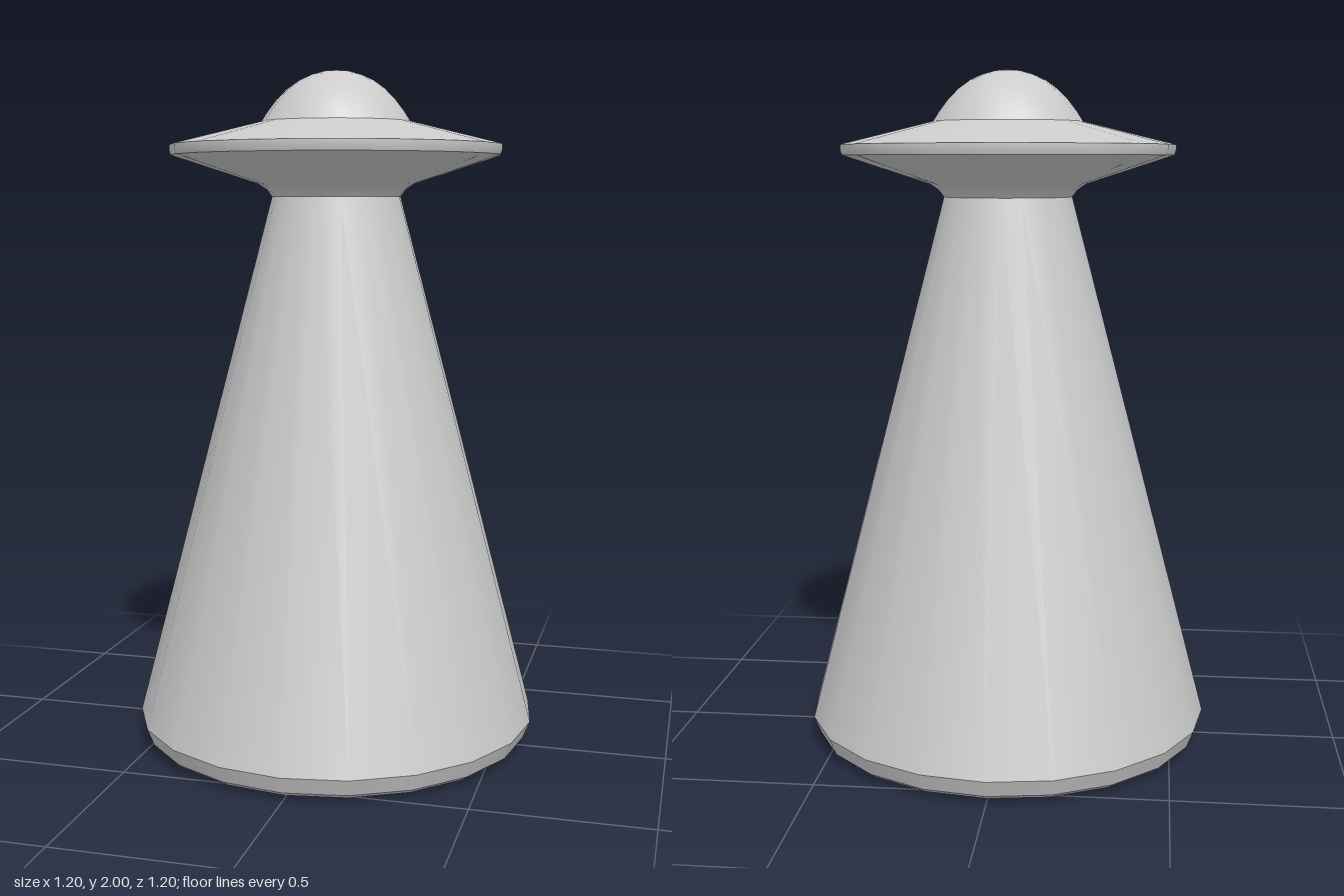
import * as THREE from 'three';

const SIDES = 20;

export function createModel() {
  const model = new THREE.Group();
  const material = new THREE.MeshStandardMaterial({ color: 0xcccccc });

  // Each part is a turned profile of [radius, height], listed from bottom to top.
  function turned(name, profile) {
    const points = profile.map(([r, y]) => new THREE.Vector2(r, y));
    const mesh = new THREE.Mesh(new THREE.LatheGeometry(points, SIDES), material);
    mesh.name = name;
    model.add(mesh);
  }

  // Base: underside with a softened edge, then the band below the cone
  turned('baseUnderside', [[0, 0], [0.52, 0], [0.56, 0.01], [0.58, 0.025]]);
  turned('baseBand', [[0.58, 0.025], [0.6, 0.075]]);

  // Tall tapering beam
  turned('beamCone', [[0.6, 0.075], [0.19, 1.635]]);

  // Saucer: flared collar, underside, thin rim and sloping top
  turned('saucerUnderside', [[0.19, 1.635], [0.205, 1.655], [0.23, 1.672], [0.485, 1.755]]);
  turned('saucerRim', [[0.485, 1.755], [0.49, 1.77], [0.49, 1.785]]);
  turned('saucerTop', [[0.49, 1.785], [0.22, 1.852]]);

  // Rounded dome with a slightly flared foot
  turned('dome', [
    [0.22, 1.852], [0.202, 1.88], [0.175, 1.915], [0.145, 1.945],
    [0.11, 1.97], [0.075, 1.986], [0.04, 1.996], [0, 2],
  ]);

  return model;
}
